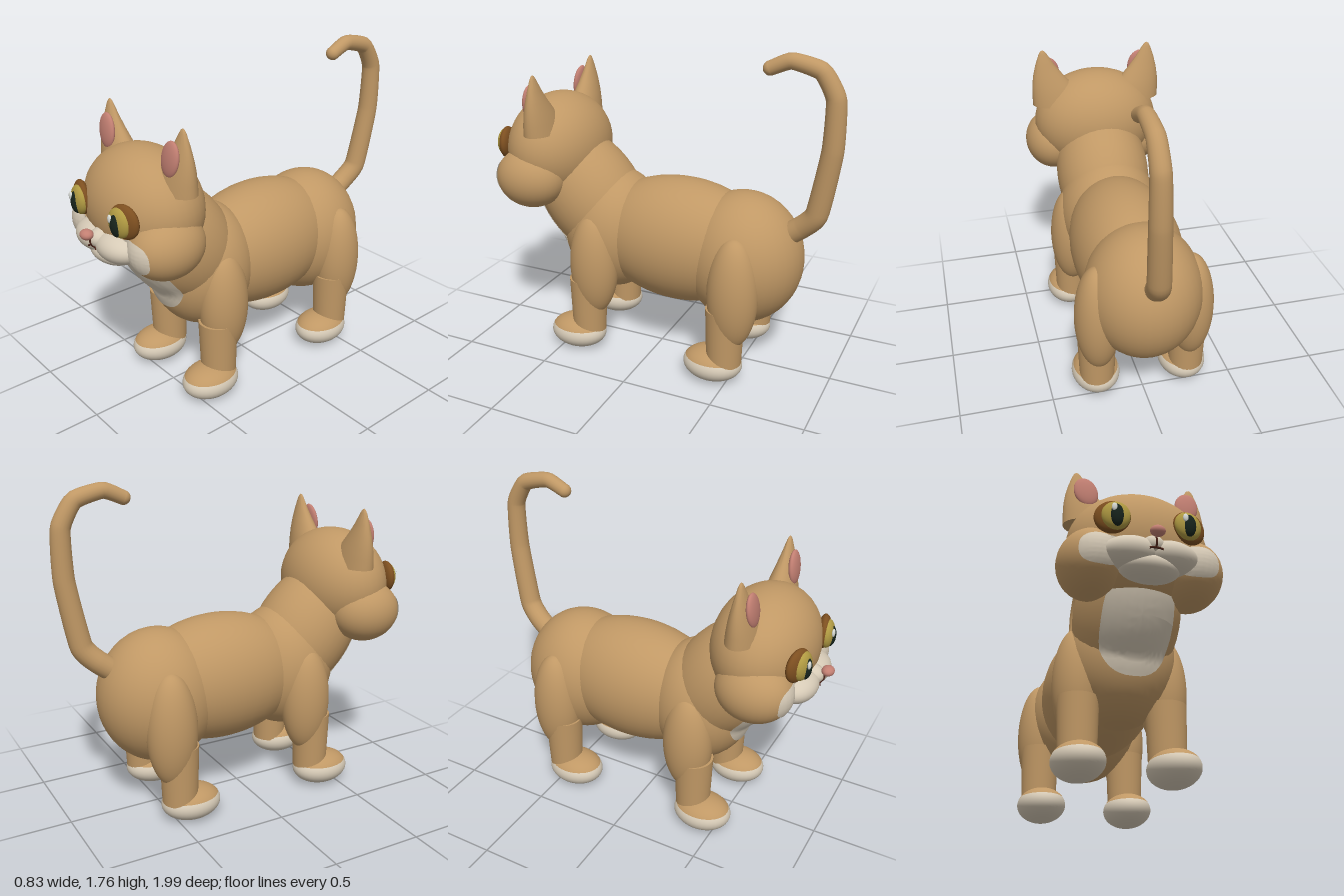
import * as THREE from 'three';
import { toCreasedNormals } from 'three/addons/utils/BufferGeometryUtils.js';

const mat = (name, color, side = THREE.FrontSide) => {
  const m = new THREE.MeshStandardMaterial({ color, side });
  m.name = name;
  return m;
};

export function createModel() {
  const fur = mat('tan fur', 0xc09865);
  const cream = mat('cream fur', 0xd6cab6, THREE.DoubleSide);
  const pink = mat('pink skin', 0xc27f72);
  const rim = mat('brown eye rim', 0x7d4f20);
  const gold = mat('gold iris', 0xb09a42);
  const dark = mat('dark pupil', 0x17241c);
  const shine = mat('eye shine', 0xd9dcd6);
  const lip = mat('dark lip', 0x4a2318);

  const model = new THREE.Group();
  const add = (name, geo, material, parent = model) => {
    const mesh = new THREE.Mesh(geo, material);
    mesh.name = name;
    parent.add(mesh);
    return mesh;
  };
  // Ellipsoid from centre and radii; theta range allows two-colour paws
  const blob = (name, material, c, r, parent = model, t0 = 0, t1 = Math.PI) => {
    const mesh = add(name, new THREE.SphereGeometry(1, 36, 24, 0, Math.PI * 2, t0, t1 - t0), material, parent);
    mesh.position.set(...c);
    mesh.scale.set(...r);
    return mesh;
  };

  // Body
  blob('torso', fur, [0, 0.68, -0.12], [0.3, 0.35, 0.52]);
  blob('hips', fur, [0, 0.64, -0.48], [0.31, 0.365, 0.33]);
  const chest = blob('chest', fur, [0, 0.68, 0.29], [0.29, 0.35, 0.29]);
  const neck = blob('neck', fur, [0, 0.86, 0.44], [0.27, 0.42, 0.28]);
  neck.rotation.x = 0.65;

  // Head
  const head = blob('head', fur, [0, 1.13, 0.635], [0.36, 0.3, 0.27]);
  const cheeks = [-1, 1].map((s) => blob('cheek', fur, [s * 0.25, 1.0, 0.68], [0.165, 0.17, 0.2]));
  const muzzle = [
    ...[-1, 1].map((s) => blob('muzzle', cream, [s * 0.09, 0.99, 0.84], [0.145, 0.08, 0.11])),
    blob('muzzleBridge', cream, [0, 1.015, 0.875], [0.06, 0.055, 0.075]),
    blob('chin', cream, [0, 0.93, 0.825], [0.15, 0.062, 0.1]),
  ];
  blob('nose', pink, [0, 1.055, 0.967], [0.037, 0.026, 0.032]);

  // Finds the front surface at (x, y) on the given meshes
  model.updateMatrixWorld(true);
  const ray = new THREE.Raycaster();
  const frontZ = (x, y, targets) => {
    ray.set(new THREE.Vector3(x, y, 3), new THREE.Vector3(0, 0, -1));
    const hit = ray.intersectObjects(targets, false)[0];
    return hit ? hit.point.z : 0;
  };
  // Rounded fur marking laid over the surface below it
  const patch = (name, material, cx, cy, rx, ry, targets, squareness = 1) => {
    const geo = new THREE.RingGeometry(0.001, 1, 40, 12);
    const p = geo.attributes.position;
    const bend = (v) => Math.sign(v) * Math.abs(v) ** squareness;
    for (let i = 0; i < p.count; i++) {
      const r = Math.hypot(p.getX(i), p.getY(i));
      const x = cx + rx * r * bend(p.getX(i) / r);
      const y = cy + ry * r * bend(p.getY(i) / r);
      p.setXYZ(i, x, y, frontZ(x, y, targets) + 0.006);
    }
    geo.computeVertexNormals();
    return add(name, geo, material);
  };
  patch('bib', cream, 0, 0.755, 0.18, 0.25, [chest, neck], 0.85);
  for (const s of [-1, 1]) patch('cheekMarking', cream, s * 0.24, 0.99, 0.105, 0.08, [head, ...cheeks], 0.8);

  // Mouth
  const line = (name, pts) => {
    const path = pts.map(([x, y]) => new THREE.Vector3(x, y, frontZ(x, y, muzzle) + 0.002));
    add(name, new THREE.TubeGeometry(new THREE.CatmullRomCurve3(path), 12, 0.005, 6), lip);
  };
  line('mouthCleft', [[0, 1.04], [0, 1.01], [0, 0.983]]);
  line('mouth', [[-0.035, 0.976], [-0.018, 0.984], [0, 0.983], [0.018, 0.984], [0.035, 0.976]]);

  // Eyes
  for (const s of [-1, 1]) {
    const eye = new THREE.Group();
    eye.name = 'eye';
    eye.position.set(s * 0.19, 1.16, 0.87);
    model.add(eye);
    blob('eyeRim', rim, [0, 0, 0], [0.088, 0.088, 0.036], eye).rotation.y = s * 0.25;
    blob('iris', gold, [-s * 0.012, -0.003, 0.02], [0.07, 0.076, 0.037], eye).rotation.y = s * 0.15;
    blob('pupil', dark, [-s * 0.013, -0.01, 0.038], [0.036, 0.06, 0.028], eye);
    blob('eyeShine', shine, [s > 0 ? -0.034 : -0.004, 0.02, 0.058], [0.014, 0.022, 0.009], eye);
  }

  // Ears: a leaning, flattened cone with a flat base
  const profile = [[0, 1.26], [0.156, 1.26], [0.138, 1.32], [0.113, 1.38], [0.083, 1.44],
    [0.053, 1.5], [0.024, 1.56], [0.012, 1.578], [0, 1.585]];
  const earGeo = new THREE.LatheGeometry(profile.map((q) => new THREE.Vector2(...q)), 28);
  const ep = earGeo.attributes.position;
  for (let i = 0; i < ep.count; i++) {
    const r = Math.hypot(ep.getX(i), ep.getZ(i));
    ep.setXYZ(i, ep.getX(i) + 0.305 - 3.65 * r * r, ep.getY(i), ep.getZ(i) * 0.56 + 0.605);
  }
  const earSmooth = toCreasedNormals(earGeo, 0.9);
  for (const s of [-1, 1]) {
    const ear = new THREE.Group();
    ear.name = 'ear';
    ear.scale.x = s;
    model.add(ear);
    add('outerEar', earSmooth, fur, ear);
    const inner = blob('innerEar', pink, [0.267, 1.437, 0.655], [0.062, 0.09, 0.024], ear);
    inner.rotation.set(-0.12, 0, -0.15);
  }

  // Legs and two-tone paws
  const leg = (name, s, x, z, upperX, upperZ, upperR, pawX) => {
    const g = new THREE.Group();
    g.name = name;
    model.add(g);
    blob('upperLeg', fur, [s * upperX, 0.53, upperZ], upperR, g);
    const lower = add('lowerLeg', new THREE.CylinderGeometry(0.105, 0.094, 0.32, 28), fur, g);
    lower.position.set(s * x, 0.28, z);
    const paw = [s * pawX, 0.1, z + 0.065], size = [0.13, 0.093, 0.163];
    const split = 1.17;
    blob('pawTop', fur, paw, size, g, 0, split);
    blob('paw', cream, paw, size, g, split, Math.PI);
  };
  for (const s of [-1, 1]) {
    leg('frontLeg', s, 0.225, 0.355, 0.225, 0.315, [0.12, 0.3, 0.138], 0.235);
    leg('hindLeg', s, 0.25, -0.478, 0.25, -0.515, [0.122, 0.31, 0.137], 0.245);
  }

  // Tail: tapered tube with a hooked end and rounded tip
  const tailPath = new THREE.CatmullRomCurve3([
    [0, 0.78, -0.68], [0.015, 0.87, -0.8], [0.035, 0.96, -0.875], [0.055, 1.3, -0.935],
    [0.06, 1.56, -0.935], [0.062, 1.69, -0.86], [0.064, 1.728, -0.71], [0.065, 1.685, -0.605],
  ].map((q) => new THREE.Vector3(...q)), false, 'catmullrom', 0.25);
  const rings = 64, sides = 20;
  const tailGeo = new THREE.TubeGeometry(tailPath, rings, 0.06, sides);
  const tp = tailGeo.attributes.position, v = new THREE.Vector3();
  for (let i = 0; i < tp.count; i++) {
    const t = Math.floor(i / (sides + 1)) / rings;
    const c = tailPath.getPointAt(t);
    v.fromBufferAttribute(tp, i).sub(c).multiplyScalar(1 - 0.38 * t * t).add(c);
    tp.setXYZ(i, v.x, v.y, v.z);
  }
  add('tail', tailGeo, fur);
  blob('tailTip', fur, [0.065, 1.685, -0.605], [0.0372, 0.0372, 0.0372]);

  return model;
}
